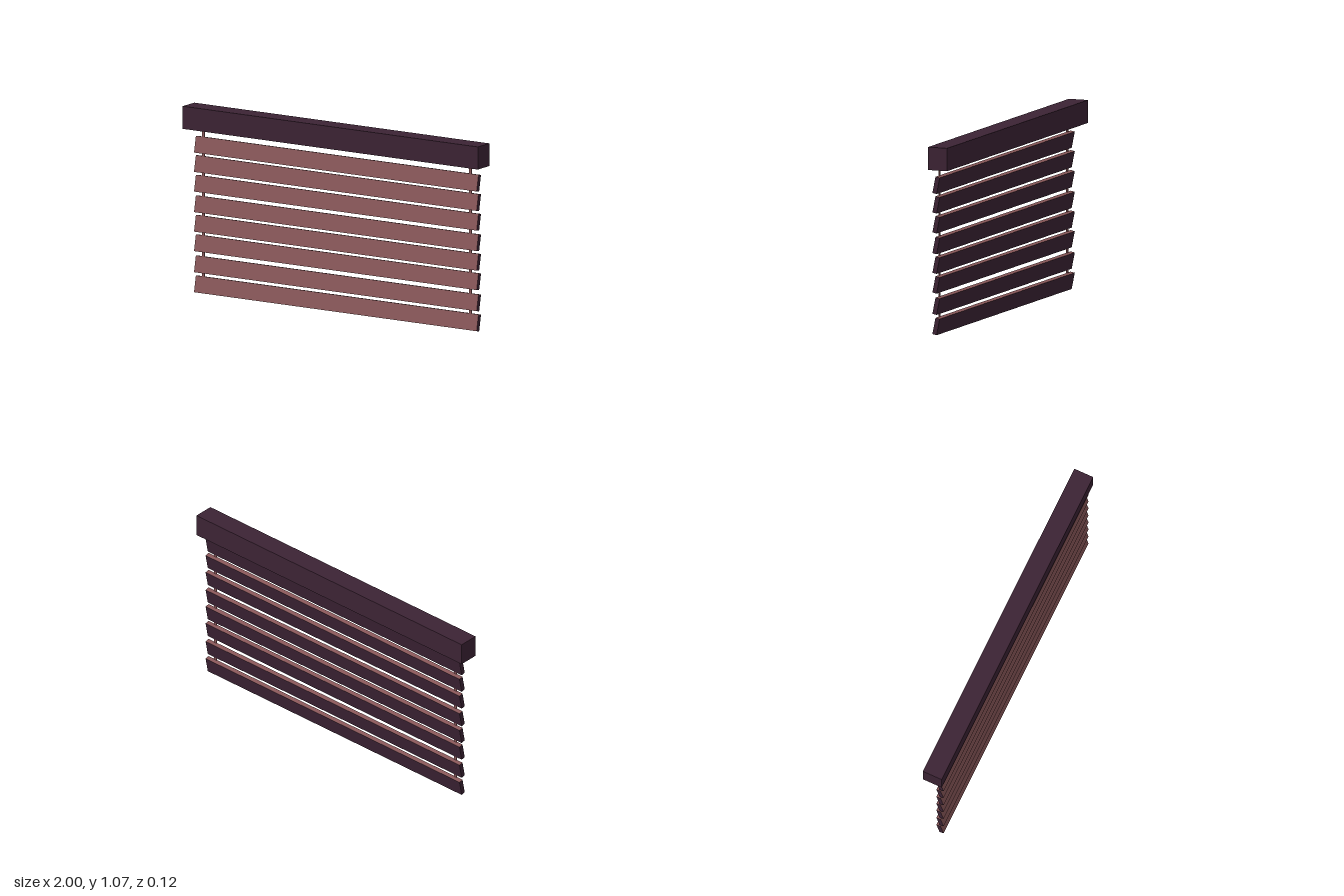
import * as THREE from 'three';

export function createModel() {
  const model = new THREE.Group();
  model.name = 'windowBlind';

  const darkWood = new THREE.MeshStandardMaterial({ color: 0x3c2334 });
  darkWood.name = 'dark plum';
  const rosyWood = new THREE.MeshStandardMaterial({ color: 0x885759 });
  rosyWood.name = 'dusty rose';

  const addBox = (name, size, position, material) => {
    const mesh = new THREE.Mesh(new THREE.BoxGeometry(...size), material);
    mesh.name = name;
    mesh.position.set(...position);
    model.add(mesh);
    return mesh;
  };

  // Head rail
  addBox('headRail', [2, 0.13, 0.117], [0, 1.005, 0], darkWood);

  // Tilted slats: rosy on the front and top, dark on the other faces
  const slatFaces = [darkWood, darkWood, rosyWood, darkWood, rosyWood, darkWood];
  const slatHeights = [0.05, 0.165, 0.286, 0.398, 0.51, 0.628, 0.741, 0.852];
  slatHeights.forEach((y, i) => {
    const slat = addBox(`slat${i + 1}`, [1.915, 0.095, 0.026], [0.022, y, 0.0175], slatFaces);
    slat.rotation.x = -0.2;
  });

  // Flat cords threaded through the slats
  addBox('rightCord', [0.018, 0.89, 0.006], [-0.885, 0.505, 0.019], rosyWood);
  addBox('leftCord', [0.018, 0.89, 0.006], [0.925, 0.505, 0.019], rosyWood);

  return model;
}
